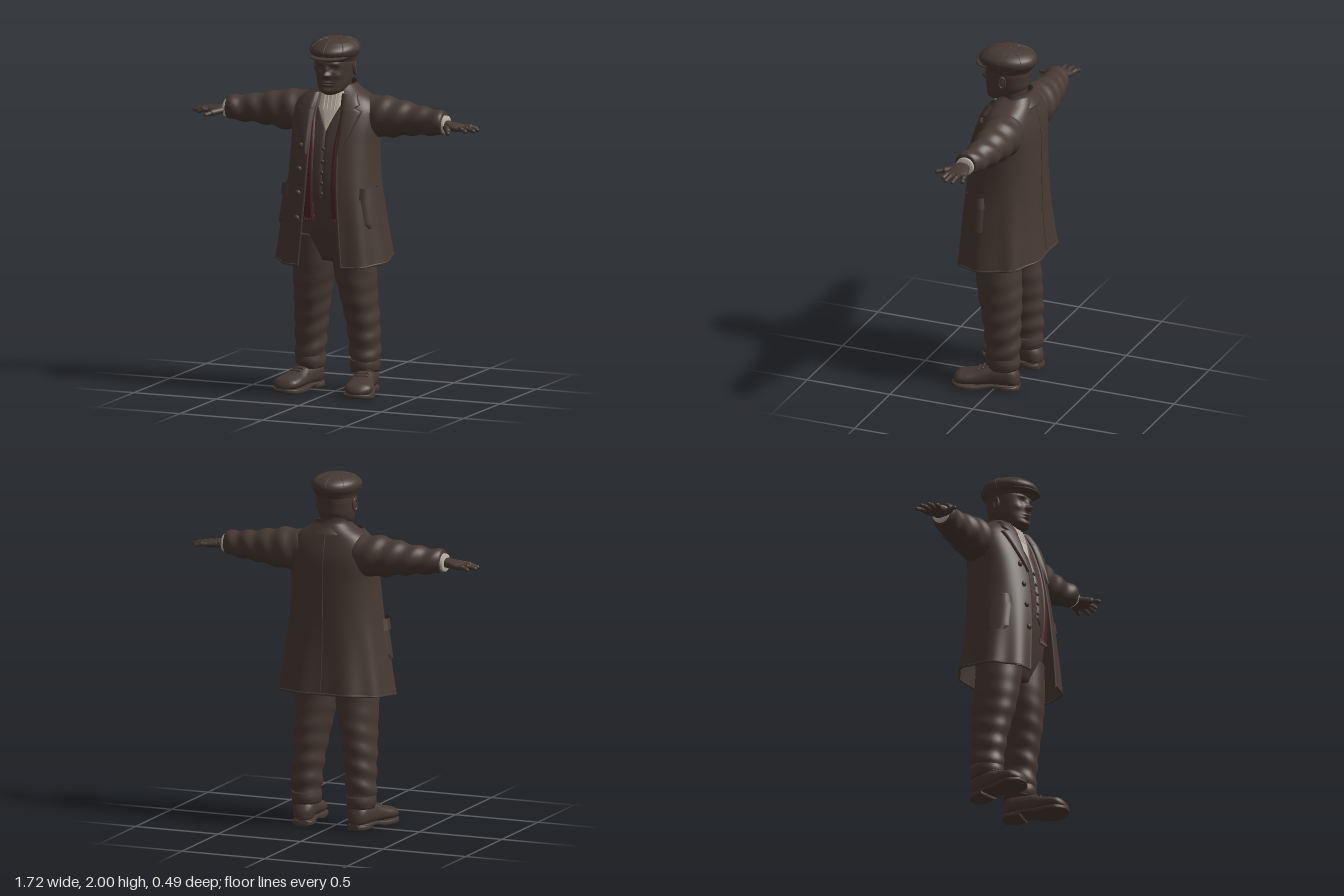
import * as THREE from 'three';
import { mergeVertices, mergeGeometries } from 'three/addons/utils/BufferGeometryUtils.js';

const material = (name, color) => {
  const m = new THREE.MeshStandardMaterial({ color, side: THREE.DoubleSide });
  m.name = name;
  return m;
};
const TAU = Math.PI * 2;
const V = (x, y, z) => new THREE.Vector3(x, y, z);
const spow = (v, p) => Math.sign(v) * Math.abs(v) ** p;

// Smooth grid surface from a rule f(u, v)
function grid(nu, nv, f) {
  const pos = [], idx = [];
  for (let j = 0; j <= nv; j++) for (let i = 0; i <= nu; i++) pos.push(...f(i / nu, j / nv).toArray());
  for (let j = 0; j < nv; j++) for (let i = 0; i < nu; i++) {
    const a = j * (nu + 1) + i, b = a + nu + 1;
    idx.push(a, a + 1, b + 1, a, b + 1, b);
  }
  const g = new THREE.BufferGeometry();
  g.setAttribute('position', new THREE.Float32BufferAttribute(pos, 3));
  g.setIndex(idx);
  const merged = mergeVertices(g, 1e-5);
  merged.computeVertexNormals();
  return merged;
}

// Body of superellipse sections; rows are [y, centre x, front z, back z, half width]
function surface(e, rows) {
  const interp = new THREE.CubicInterpolant(rows.map(r => r[0]), new Float32Array(rows.flatMap(r => r.slice(1))), 4);
  const at = y => { const [cx, f, b, rx] = interp.evaluate(y); return { cx, cz: (f + b) / 2, rz: (f - b) / 2, rx }; };
  return {
    y0: rows[0][0], y1: rows.at(-1)[0],
    point(y, t, off = 0, k = 1) {
      const r = at(y), s = Math.sin(t), c = Math.cos(t);
      return V(r.cx + k * (r.rx * spow(s, 2 / e) + off * s), y, r.cz + k * (r.rz * spow(c, 2 / e) + off * c));
    },
    angleAtX(y, x) { return Math.asin(THREE.MathUtils.clamp(spow(x / at(y).rx, e / 2), -1, 1)); },
    angleAtZ(y, z) { const r = at(y); return Math.acos(THREE.MathUtils.clamp(spow((z - r.cz) / r.rz, e / 2), -1, 1)); },
  };
}

// Closed, capped skin of a surface
function loft(s, { n = 40, m = 30, bump = () => 0 } = {}) {
  return grid(n, m + 2, (u, v) => {
    const j = Math.round(v * (m + 2)), y = THREE.MathUtils.lerp(s.y0, s.y1, THREE.MathUtils.clamp((j - 1) / m, 0, 1));
    const t = (u % 1) * TAU;
    return s.point(y, t, bump(y, t), j === 0 || j === m + 2 ? 0 : 1);
  });
}

// Padded cloth piece lying on a surface; rows are [y, from, to] in x (or z)
function patch(s, rows, off, along = 'angleAtX') {
  const k = rows.length - 1, sub = 8;
  return grid(12, k * sub, (u, v) => {
    const i = Math.min(Math.floor(v * k + 1e-6), k - 1), f = v * k - i;
    const [y, a, b] = rows[i].map((q, c) => THREE.MathUtils.lerp(q, rows[i + 1][c], f));
    return s.point(y, s[along](y, THREE.MathUtils.lerp(a, b, u)), 0.003 + off * (1 - Math.abs(2 * u - 1) ** 6));
  });
}

const limb = (a, b, r) => new THREE.CapsuleGeometry(r, a.distanceTo(b), 5, 10)
  .applyQuaternion(new THREE.Quaternion().setFromUnitVectors(V(0, 1, 0), b.clone().sub(a).normalize()))
  .translate((a.x + b.x) / 2, (a.y + b.y) / 2, (a.z + b.z) / 2);
const ball = (p, x, y, z) => new THREE.SphereGeometry(1, 16, 10).scale(x, y, z).translate(p.x, p.y, p.z);
const tube = (pts, r) => new THREE.TubeGeometry(new THREE.CatmullRomCurve3(pts), 40, r, 8);

function mirrored(geo) {
  const g = geo.clone().scale(-1, 1, 1), ix = g.index.array;
  for (let i = 0; i < ix.length; i += 3) [ix[i], ix[i + 1]] = [ix[i + 1], ix[i]];
  return g;
}

export function createModel() {
  const model = new THREE.Group();
  const brown = material('darkBrown', 0x463932), cream = material('cream', 0xb9b0a2), red = material('darkRed', 0x4a252a);
  const add = (name, geo, mat = brown) => {
    const mesh = new THREE.Mesh(geo, mat);
    mesh.name = name;
    model.add(mesh);
  };
  const pair = (name, geo, mat) => { add('left' + name, geo, mat); add('right' + name, mirrored(geo), mat); };

  // Torso with waistcoat and shirt
  const body = surface(2.5, [[0.75, 0, 0.1, -0.12, 0.18], [0.85, 0, 0.135, -0.14, 0.2], [1, 0, 0.165, -0.15, 0.21],
    [1.2, 0, 0.178, -0.16, 0.22], [1.4, 0, 0.15, -0.16, 0.21], [1.55, 0, 0.1, -0.15, 0.18], [1.65, 0, 0.065, -0.14, 0.12],
    [1.71, 0, 0.045, -0.11, 0.09]]);
  add('torso', loft(body));
  pair('Waistcoat', patch(body, [[1.08, 0.035, 0.045], [1.12, 0, 0.085], [1.5, 0, 0.09], [1.56, 0.03, 0.1], [1.62, 0.06, 0.1]], 0.008));
  add('shirt', patch(body, [[1.49, -0.004, 0.004], [1.56, -0.034, 0.034], [1.62, -0.064, 0.064], [1.7, -0.068, 0.068]], 0.007), cream);
  for (const x of [-0.03, -0.01, 0.012, 0.032])
    add('shirtPleat', tube([1.6, 1.64, 1.69].map(y => body.point(y, body.angleAtX(y, x), 0.01)), 0.004), cream);
  for (const y of [1.14, 1.2, 1.26, 1.32, 1.39]) add('waistcoatButton', ball(body.point(y, 0, 0.012), 0.011, 0.011, 0.007));

  // Scarf with fringe
  pair('Scarf', patch(body, [[1, 0.052, 0.118], [1.2, 0.05, 0.102], [1.4, 0.054, 0.102], [1.56, 0.068, 0.108], [1.69, 0.058, 0.088]], 0.018), red);
  for (let i = 0; i < 7; i++) {
    const x = 0.056 + i * 0.0095;
    pair('ScarfFringe', limb(V(x, 1.01, 0.168), V(x, 0.985, 0.17), 0.005), red);
  }
  add('scarfLoop', grid(40, 6, (u, v) => {
    const t = 0.7 + u * (TAU - 1.4);
    return V((0.092 + 0.01 * Math.sin(v * 3.14)) * Math.sin(t), 1.65 + 0.08 * v - 0.02 * Math.cos(t), -0.035 + 0.085 * Math.cos(t));
  }), red);

  // Open coat, flaring to a rippled hem
  const coat = surface(2.5, [[0.755, 0, 0.245, -0.24, 0.325], [1, 0, 0.23, -0.215, 0.288], [1.2, 0, 0.21, -0.205, 0.26],
    [1.4, 0, 0.175, -0.2, 0.248], [1.55, 0, 0.13, -0.195, 0.25], [1.62, 0, 0.1, -0.18, 0.235], [1.67, 0, 0.07, -0.165, 0.19],
    [1.7, 0, 0.05, -0.155, 0.135], [1.73, 0, 0.03, -0.14, 0.095]]);
  const opening = new THREE.CubicInterpolant([0.755, 1, 1.2, 1.4, 1.55, 1.73], new Float32Array([0.135, 0.112, 0.096, 0.09, 0.09, 0.07]), 1);
  const edgeAngle = y => coat.angleAtX(y, opening.evaluate(y)[0]);
  const coatPoint = (y, t, off = 0) => {
    const low = THREE.MathUtils.clamp((1.25 - y) / 0.5, 0, 1);
    const p = coat.point(y, t, off + 0.009 * low * Math.sin(9 * t + 1));
    p.y -= 0.1 * low * p.z;
    return p;
  };
  add('coat', grid(96, 60, (u, v) => {
    const y = THREE.MathUtils.lerp(coat.y0, coat.y1, v), t = edgeAngle(y);
    return coatPoint(y, t + u * (TAU - 2 * t));
  }));
  const levels = (a, b, n) => Array.from({ length: n }, (_, i) => a + (b - a) * i / (n - 1));
  for (const s of [1, -1])
    add('coatEdge', tube(levels(0.76, 1.68, 14).map(y => coatPoint(y, s > 0 ? edgeAngle(y) : TAU - edgeAngle(y), -0.004)), 0.008));
  const hemStart = edgeAngle(0.755);
  add('coatHem', tube(levels(hemStart, TAU - hemStart, 70).map(t => coatPoint(0.76, t, -0.003)), 0.007));
  add('backSeam', tube(levels(0.78, 1.68, 12).map(y => coatPoint(y, Math.PI)), 0.004));
  pair('Lapel', patch(coat, [[1.36, 0.088, 0.094], [1.48, 0.085, 0.15], [1.6, 0.08, 0.195], [1.625, 0.078, 0.145]], 0.018));
  pair('CollarFront', patch(coat, [[1.61, 0.08, 0.15], [1.635, 0.075, 0.175], [1.69, 0.07, 0.14]], 0.02));
  add('collar', grid(48, 8, (u, v) => {
    const t = 0.75 + u * (TAU - 1.5), r = 0.145 - 0.045 * Math.sin(v * 1.57);
    return V(r * Math.sin(t), 1.665 + 0.075 * v - 0.015 * Math.cos(t), -0.06 + 0.78 * r * Math.cos(t));
  }));
  pair('PocketFlap', patch(coat, [[1.115, 0.16, 0.025], [1.18, 0.15, 0.035]], 0.024, 'angleAtZ'));
  pair('Pocket', patch(coat, [[0.955, 0.14, 0.05], [0.98, 0.155, 0.03], [1.12, 0.155, 0.03]], 0.012, 'angleAtZ'));
  for (const y of [1, 1.14, 1.27, 1.4]) add('coatButton', ball(coat.point(y, -coat.angleAtX(y, 0.135), 0.006), 0.017, 0.017, 0.011));

  // Sleeves, cuffs and hands, drawn upright and laid along x
  const sideways = (rows, e, opt) => loft(surface(e, rows), opt).rotateZ(-Math.PI / 2);
  pair('Sleeve', sideways([[0.15, -1.56, 0.02, -0.16, 0.1], [0.22, -1.558, 0.045, -0.175, 0.115], [0.29, -1.556, 0.05, -0.17, 0.115],
    [0.38, -1.555, 0.04, -0.155, 0.1], [0.47, -1.553, 0.03, -0.14, 0.086], [0.56, -1.55, 0.035, -0.115, 0.075],
    [0.645, -1.549, 0.045, -0.09, 0.065], [0.655, -1.549, 0.04, -0.085, 0.06]], 2,
    { m: 60, bump: (x, t) => 0.005 * Math.sin(x * 55 + 2 * Math.sin(t)) }));
  pair('ShirtCuff', sideways([[0.64, -1.546, 0.032, -0.076, 0.052], [0.672, -1.545, 0.03, -0.072, 0.049]], 2, { m: 3 }), cream);
  pair('Hand', sideways([[0.64, -1.545, 0.012, -0.052, 0.028], [0.68, -1.543, 0.03, -0.055, 0.026], [0.72, -1.538, 0.044, -0.068, 0.023],
    [0.76, -1.533, 0.043, -0.073, 0.018], [0.775, -1.532, 0.035, -0.066, 0.01]], 2.4));
  const fingers = [[-0.06, 0.822, -0.076], [-0.031, 0.85, -0.028], [0, 0.845, 0.016], [0.03, 0.808, 0.046]];
  for (const [z, x, tip] of fingers) {
    const mid = V((0.76 + x) / 2, 1.536, (z + tip) / 2);
    pair('Finger', mergeGeometries([limb(V(0.755, 1.533, z), mid, 0.0135), limb(mid, V(x, 1.527, tip), 0.0115)]));
  }
  pair('Thumb', mergeGeometries([limb(V(0.68, 1.535, 0.02), V(0.715, 1.528, 0.075), 0.018), limb(V(0.715, 1.528, 0.075), V(0.735, 1.522, 0.115), 0.012)]));

  // Trouser legs with soft folds and turn-ups
  pair('TrouserLeg', loft(surface(2.1, [[0.12, 0.165, 0.045, -0.125, 0.07], [0.2, 0.166, 0.055, -0.135, 0.08], [0.28, 0.163, 0.062, -0.138, 0.084],
    [0.4, 0.155, 0.08, -0.138, 0.09], [0.55, 0.14, 0.115, -0.138, 0.1], [0.72, 0.122, 0.135, -0.125, 0.118], [0.9, 0.11, 0.14, -0.13, 0.11]]),
    { m: 70, bump: (y, t) => 0.007 * Math.max(0, 1 - y / 0.8) * Math.sin(y * 60 + 2 * Math.sin(t + 1)) }));
  pair('TurnUp', loft(surface(2.1, [[0.125, 0.165, 0.05, -0.13, 0.075], [0.155, 0.165, 0.058, -0.138, 0.082], [0.19, 0.165, 0.054, -0.134, 0.079]]), { m: 8 }));

  // Shoes, turned outward
  const shoe = (rows, e) => loft(surface(e, rows.map(([z, low, high, w]) => [z, 0, -low, -high, w]))).rotateX(Math.PI / 2).rotateY(0.2).translate(0.182, 0, 0);
  pair('Shoe', shoe([[-0.135, 0.03, 0.09, 0.025], [-0.115, 0.02, 0.13, 0.05], [-0.04, 0.02, 0.15, 0.06], [0.03, 0.02, 0.14, 0.06],
    [0.1, 0.02, 0.11, 0.072], [0.17, 0.02, 0.093, 0.08], [0.215, 0.02, 0.08, 0.064], [0.236, 0.025, 0.055, 0.03]], 2.3));
  pair('Sole', shoe([[-0.13, 0.015, 0.036, 0.04], [-0.06, 0.015, 0.036, 0.06], [0.02, 0.014, 0.036, 0.062], [0.08, 0, 0.03, 0.075],
    [0.16, 0, 0.03, 0.085], [0.21, 0.003, 0.03, 0.072], [0.242, 0.012, 0.03, 0.03]], 5));
  pair('Heel', shoe([[-0.138, 0, 0.032, 0.035], [-0.11, 0, 0.032, 0.057], [-0.02, 0, 0.032, 0.06]], 4));
  for (const [z, y] of [[0.04, 0.14], [0.065, 0.129], [0.09, 0.118]])
    pair('Lace', limb(V(-0.03, y - 0.006, z), V(0.03, y - 0.006, z), 0.007).rotateY(0.2).translate(0.182, 0, 0));

  // Head: features raised and sunk as [angle, y, angle spread, y spread, height]
  const features = [[0, 1.8, 0.13, 0.014, 0.034], [0, 1.83, 0.1, 0.022, 0.016], [0.36, 1.835, 0.16, 0.013, -0.014], [0.38, 1.834, 0.1, 0.008, 0.007],
    [0.36, 1.862, 0.25, 0.01, 0.007], [0.6, 1.795, 0.22, 0.018, 0.006], [0, 1.757, 0.22, 0.006, 0.01], [0, 1.743, 0.2, 0.006, 0.01],
    [0, 1.75, 0.25, 0.0025, -0.008], [0, 1.73, 0.3, 0.006, -0.004], [0, 1.708, 0.3, 0.012, 0.006], [0.16, 1.795, 0.06, 0.009, 0.01]];
  add('neck', loft(surface(2, [[1.6, 0, 0.045, -0.12, 0.085], [1.7, 0, 0.04, -0.11, 0.076], [1.8, 0, 0.04, -0.115, 0.08]])));
  add('head', loft(surface(2.15, [[1.685, 0, 0.1, 0.03, 0.03], [1.7, 0, 0.117, -0.02, 0.06], [1.73, 0, 0.12, -0.08, 0.083], [1.77, 0, 0.12, -0.115, 0.096],
    [1.82, 0, 0.12, -0.125, 0.104], [1.87, 0, 0.12, -0.13, 0.108], [1.93, 0, 0.11, -0.125, 0.1]]), { n: 96, m: 90, bump: (y, t) => {
    const a = Math.abs(t > Math.PI ? t - TAU : t);
    return features.reduce((sum, [c, h, sa, sy, k]) => sum + k * Math.exp(-(((a - c) / sa) ** 2) - ((y - h) / sy) ** 2), 0);
  } }));
  pair('Ear', mergeGeometries([ball(V(0, 0, 0), 0.01, 0.034, 0.02), new THREE.TorusGeometry(0.022, 0.006, 8, 20).scale(0.8, 1.4, 1).rotateY(Math.PI / 2).translate(0.006, 0, 0)])
    .rotateY(0.3).translate(0.11, 1.825, -0.01));

  // Flat cap with visor, seams and button
  const cap = surface(2, [[1.87, 0, 0.118, -0.132, 0.11], [1.89, 0, 0.14, -0.145, 0.118], [1.915, 0, 0.165, -0.163, 0.132], [1.94, 0, 0.16, -0.165, 0.136],
    [1.965, 0, 0.13, -0.148, 0.121], [1.985, 0, 0.09, -0.105, 0.086], [1.996, 0, 0.03, -0.05, 0.04], [1.998, 0, -0.005, -0.015, 0.005]]);
  add('cap', loft(cap, { n: 64, m: 50 }));
  add('capVisor', ball(V(0, 0, 0), 0.112, 0.014, 0.105).rotateX(0.08).translate(0, 1.9, 0.083));
  for (let i = 0; i < 8; i++) add('capSeam', tube(levels(1.9, 1.995, 12).map(y => cap.point(y, i * TAU / 8, -0.001)), 0.0025));
  add('capButton', ball(V(0, 1.995, -0.01), 0.012, 0.005, 0.012));
  return model;
}
